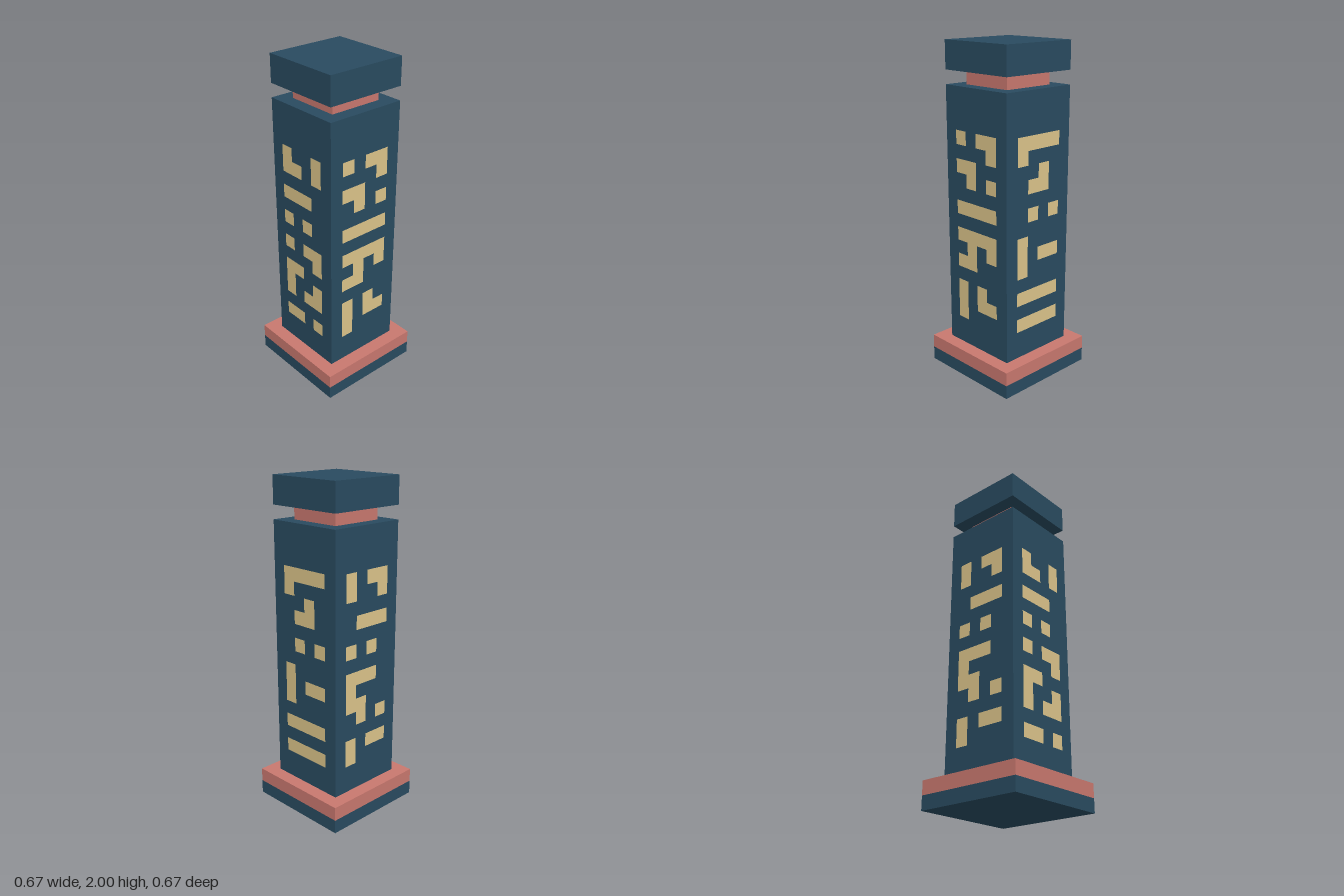
import * as THREE from 'three';

const U = 1 / 12; // grid unit: the pillar is 24 units tall

const navy = new THREE.MeshStandardMaterial({ color: 0x294b60 });
const coral = new THREE.MeshStandardMaterial({ color: 0xc9786f });
const sand = new THREE.MeshStandardMaterial({ color: 0xdcc48a });

// Inlay patterns, top row first, each seen from outside its face
const PATTERNS = {
  front: ['X..X', 'XX.X', '....', 'XXX.', '....', 'X.X.', '....',
    'X.XX', '...X', 'XX..', 'X..X', 'X.XX', '....', 'XX.X'],
  left: ['X.XX', '...X', 'XX..', '.X.X', '....', 'XXXX', '....',
    'XXXX', '.X.X', 'XX..', '....', 'X.X.', 'X.XX', 'X...'],
  back: ['XXXX', 'X...', '..X.', '.XX.', '....', '.X.X', '....',
    'X...', 'X.XX', 'X...', '....', 'XXXX', '....', 'XXXX'],
  right: ['X.XX', 'X..X', '....', '.XXX', '....', 'X.X.', '....',
    'XXX.', 'X...', 'XX..', '.X.X', '....', 'X.XX', 'X...'],
};

// Square block from height y0 to y1, in units
function block(name, width, y0, y1, material) {
  const mesh = new THREE.Mesh(
    new THREE.BoxGeometry(width * U, (y1 - y0) * U, width * U), material);
  mesh.position.y = (y0 + y1) / 2 * U;
  mesh.name = name;
  return mesh;
}

// Flush inlay for one face: one strip per run of filled cells
function inlay(name, rows, angle) {
  const group = new THREE.Group();
  group.name = name + 'Inlay';
  rows.forEach((row, r) => {
    for (const run of row.matchAll(/X+/g)) {
      const n = run[0].length;
      const strip = new THREE.Mesh(new THREE.PlaneGeometry(n * U, U), sand);
      strip.position.set((run.index + n / 2 - 2) * U, (17.5 - r) * U, 3 * U + 0.001);
      strip.name = 'inlayStrip';
      group.add(strip);
    }
  });
  group.rotation.y = angle;
  return group;
}

export function createModel() {
  const model = new THREE.Group();
  model.name = 'pillar';

  // Stacked blocks
  model.add(
    block('baseSlab', 8, 0, 1, navy),
    block('baseTrim', 8, 1, 2, coral),
    block('shaft', 6, 2, 21, navy),
    block('neck', 4, 21, 22, coral),
    block('cap', 6, 22, 24, navy),
  );

  // Inlays around the four sides of the shaft
  Object.entries(PATTERNS).forEach(([name, rows], i) => {
    model.add(inlay(name, rows, i * Math.PI / 2));
  });
  return model;
}
